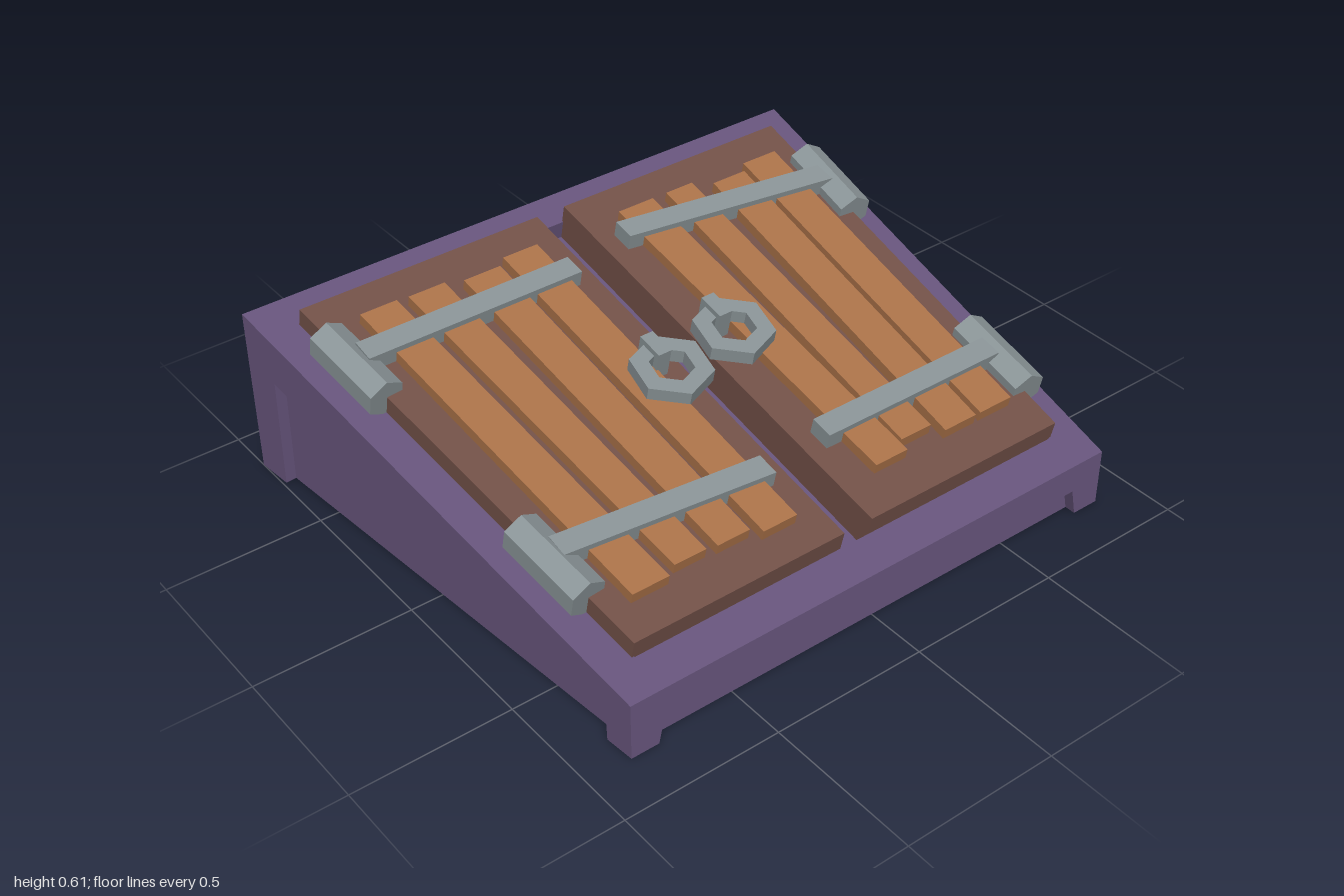
import * as THREE from 'three';

const mat = (name, color, side = THREE.FrontSide) => {
  const m = new THREE.MeshStandardMaterial({ color, side, flatShading: true });
  m.name = name;
  return m;
};

// Slope of the lid: height 0.55 at the back, 0.185 at the front
const MID = 0.3675, ANGLE = Math.atan(0.2173);
const COS = Math.cos(ANGLE), SIN = Math.sin(ANGLE);
// distance along the slope for a given world z at height n above the lid
const along = (z, n = 0) => (z - SIN * n) / COS;
const onLid = (pts, n) => pts.map(([x, z]) => [x, -along(z, n)]);
const lay = (geo) => geo.rotateX(-Math.PI / 2);

function outlineShape(pts, hole) {
  const vec = (list) => list.map(([a, b]) => new THREE.Vector2(a, b));
  const shape = new THREE.Shape(vec(pts));
  // holes run against the outline so that their walls face inward
  if (hole) shape.holes.push(new THREE.Path(vec(hole).reverse()));
  return shape;
}

const prism = (pts, depth, hole) =>
  new THREE.ExtrudeGeometry(outlineShape(pts, hole), { depth, bevelEnabled: false });

// Flat skin at height z
const sheet = (pts, z, hole) =>
  new THREE.ShapeGeometry(outlineShape(pts, hole)).translate(0, 0, z);

// Strip of wall following a line of points from z0 to z1
function band(pts, z0, z1) {
  const pos = [];
  for (let i = 0; i + 1 < pts.length; i++) {
    const [a, b] = pts[i], [c, d] = pts[i + 1];
    pos.push(a, b, z0, c, d, z0, c, d, z1, a, b, z0, c, d, z1, a, b, z1);
  }
  const g = new THREE.BufferGeometry();
  g.setAttribute('position', new THREE.Float32BufferAttribute(pos, 3));
  g.computeVertexNormals();
  return g;
}

// Solid plate lying on the lid: outline in (x, world z), between heights n0 and n1
const plate = (pts, n0, n1) => lay(prism(onLid(pts, n1), n1 - n0)).translate(0, n0, 0);

function hexagon(r, turn = 0) {
  return Array.from({ length: 6 }, (_, i) => {
    const a = Math.PI / 2 + turn + i * Math.PI / 3;
    return [r * Math.cos(a), r * Math.sin(a)];
  });
}

export function createModel() {
  const purple = mat('purpleFrame', 0x67557c, THREE.DoubleSide);
  const brown = mat('darkWood', 0x735148, THREE.DoubleSide);
  const plankMat = mat('lightWood', 0xac7349);
  const iron = mat('greyIron', 0x8a9497);

  const model = new THREE.Group();
  model.name = 'cellarDoors';
  const lid = new THREE.Group();
  lid.name = 'slopedLid';
  lid.position.y = MID;
  lid.rotation.x = ANGLE;
  model.add(lid);

  const add = (parent, name, geo, material) => {
    const m = new THREE.Mesh(geo, material);
    m.name = name;
    parent.add(m);
    return m;
  };

  // Walls: a thin skin with an arched panel pushed inward.
  // a and b are the left and right ends seen from outside; arch is [u, y] x 4.
  const T = 0.035;
  function wall(name, a, b, ha, hb, arch) {
    const L = Math.hypot(b[0] - a[0], b[1] - a[1]);
    const g = new THREE.Group();
    g.name = name;
    g.position.set(a[0], 0, a[1]);
    g.rotation.y = -Math.atan2(b[1] - a[1], b[0] - a[0]);
    add(g, name + 'Frame', sheet([[0, 0], ...arch, [L, 0], [L, hb], [0, ha]], 0), purple);
    add(g, name + 'Reveal', band(arch, -T, 0), purple);
    add(g, name + 'Panel', sheet(arch, -T), purple);
    model.add(g);
  }
  const hF = 0.185, hB = 0.55, F = 0.86, B = 1, Z = 0.84;
  const LS = Math.hypot(B - F, 2 * Z);
  wall('frontWall', [-F, Z], [F, Z], hF, hF,
    [[0.09, 0], [0.11, 0.09], [1.61, 0.09], [1.63, 0]]);
  wall('backWall', [B, -Z], [-B, -Z], hB, hB,
    [[0.1, 0], [0.12, 0.39], [1.88, 0.39], [1.9, 0]]);
  const sideArch = [[0.095, 0], [0.1, 0.1], [1.555, 0.37], [1.565, 0]];
  wall('leftWall', [F, Z], [B, -Z], hF, hB, sideArch);
  wall('rightWall', [-B, -Z], [-F, Z], hB, hF,
    sideArch.map(([u, y]) => [LS - u, y]).reverse());

  // Rim around the opening and the recessed board beneath the doors
  const outer = onLid([[-F, Z], [F, Z], [B, -Z], [-B, -Z]], 0);
  const opening = onLid([[-0.757, 0.722], [0.757, 0.722], [0.872, -0.72], [-0.872, -0.72]], 0);
  const D = 0.062;
  add(lid, 'rim', lay(sheet(outer, 0, opening)), purple);
  add(lid, 'rimReveal', lay(band([...opening, opening[0]], -D, 0)), purple);
  add(lid, 'innerBoard', lay(sheet(opening, -D)), purple);

  // Doors: a top skin with sides that reach down through the board
  for (const s of [-1, 1]) {
    const side = s > 0 ? 'left' : 'right';
    const door = onLid([[0.05, 0.732], [0.765, 0.732], [0.88, -0.712], [0.05, -0.712]]
      .map(([x, z]) => [s * x, z]), 0.06);
    if (s < 0) door.reverse();
    add(lid, side + 'Door', lay(sheet(door, 0.06)), brown);
    add(lid, side + 'DoorSides', lay(band([...door, door[0]], -0.11, 0.06)), brown);
  }

  // Planks: back x0, x1, z then front x0, x1, z
  const planks = [
    [-0.76, -0.637, -0.575, -0.695, -0.573, 0.632],
    [-0.6, -0.477, -0.57, -0.54, -0.433, 0.61],
    [-0.423, -0.295, -0.55, -0.4, -0.29, 0.617],
    [-0.268, -0.145, -0.575, -0.262, -0.145, 0.642],
    [0.16, 0.29, -0.575, 0.166, 0.284, 0.617],
    [0.343, 0.444, -0.575, 0.295, 0.407, 0.58],
    [0.503, 0.627, -0.54, 0.43, 0.55, 0.617],
    [0.648, 0.776, -0.57, 0.568, 0.69, 0.617],
  ];
  planks.forEach(([a, b, zb, c, d, zf], i) => add(lid, 'plank' + (i + 1),
    plate([[c, zf], [d, zf], [b, zb], [a, zb]], 0.055, 0.095), plankMat));

  // Hinges: strap from (x0, z0) to (x1, z1), hexagonal knuckle from k0 to k1
  const hinges = [
    ['rightBack', [-0.84, -0.43], [-0.11, -0.43], [-0.873, -0.58], [-0.85, -0.3]],
    ['rightFront', [-0.78, 0.415], [-0.11, 0.475], [-0.803, 0.275], [-0.78, 0.553]],
    ['leftBack', [0.84, -0.395], [0.11, -0.485], [0.872, -0.535], [0.845, -0.258]],
    ['leftFront', [0.77, 0.445], [0.11, 0.445], [0.8, 0.312], [0.785, 0.592]],
  ];
  for (const [name, p, q, k0, k1] of hinges) {
    const w = 0.036;
    add(lid, name + 'Strap', plate(
      [[p[0], p[1] - w], [q[0], q[1] - w], [q[0], q[1] + w], [p[0], p[1] + w]], 0.06, 0.114), iron);
    const n = 0.057, v0 = along(k0[1], n), v1 = along(k1[1], n);
    const knuckle = add(lid, name + 'Knuckle',
      prism(hexagon(0.063), Math.hypot(k1[0] - k0[0], v1 - v0)), iron);
    knuckle.position.set(k0[0], n, v0);
    knuckle.rotation.y = Math.atan2(k1[0] - k0[0], v1 - v0);
  }

  // Hexagonal pull rings with their staples
  for (const [name, x, z, turn, sx, sz] of [
    ['right', -0.126, 0.063, -0.17, -0.128, -0.01],
    ['left', 0.131, 0.026, -0.17, 0.126, -0.05],
  ]) {
    const ring = lay(prism(hexagon(0.124, turn), 0.045, hexagon(0.067, turn)));
    add(lid, name + 'Ring', ring, iron).position.set(x, 0.092, along(z, 0.137));
    add(lid, name + 'Staple', new THREE.BoxGeometry(0.045, 0.1, 0.09), iron)
      .position.set(sx, 0.105, along(sz, 0.155));
  }
  return model;
}
